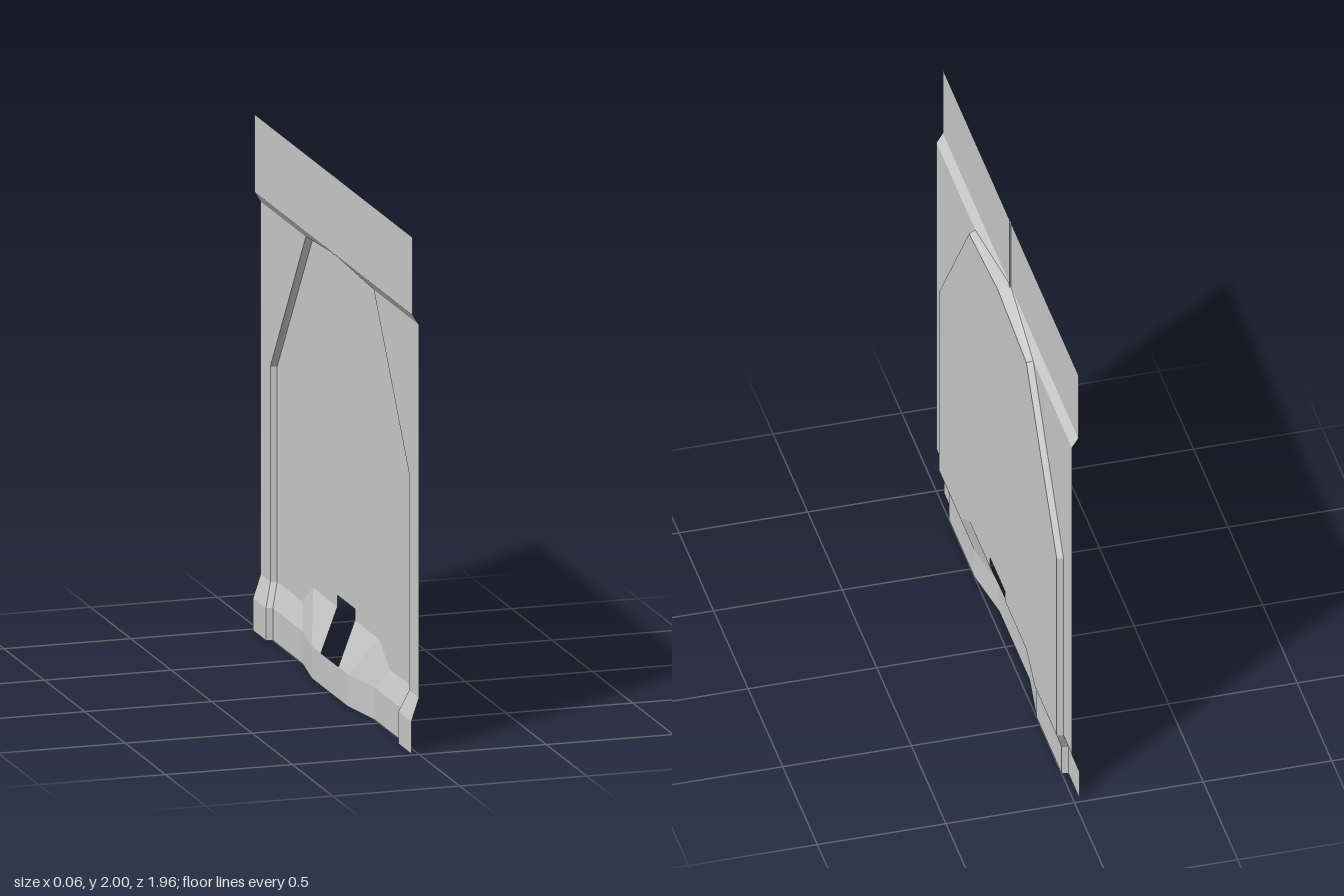
import * as THREE from 'three';

const sheet = new THREE.MeshStandardMaterial({ color: 0xcccccc, side: THREE.DoubleSide, flatShading: true });
sheet.name = 'sheet grey';

// Flat-faced mesh from polygons on the +z half, mirrored to the -z half
function facets(name, polygons) {
  const pos = [];
  const tri = (a, b, c) => {
    // wind each triangle so that it faces +x
    const nx = (b[1] - a[1]) * (c[2] - a[2]) - (b[2] - a[2]) * (c[1] - a[1]);
    pos.push(...a, ...(nx >= 0 ? [...b, ...c] : [...c, ...b]));
  };
  for (const side of [1, -1]) {
    for (const poly of polygons) {
      const p = poly.map(([x, y, z]) => [x, y, z * side]);
      const flat = p.map(([, y, z]) => new THREE.Vector2(z, y));
      for (const [i, j, k] of THREE.ShapeUtils.triangulateShape(flat, [])) tri(p[i], p[j], p[k]);
    }
  }
  const g = new THREE.BufferGeometry();
  g.setAttribute('position', new THREE.Float32BufferAttribute(pos, 3));
  g.computeVertexNormals();
  const mesh = new THREE.Mesh(g, sheet);
  mesh.name = name;
  return mesh;
}

// Quads joining two matching lists of points
const strip = (a, b) => a.slice(1).map((_, i) => [a[i], a[i + 1], b[i + 1], b[i]]);

export function createModel() {
  const group = new THREE.Group();
  group.name = 'pressedPanel';

  // Outline of the raised panel: foot of its rim, and top of its rim
  const foot = [[-0.02, 1.7, 0], [0.005, 1.66, 0.42], [0.005, 1.05, 0.86],
    [0.005, 0.215, 0.86], [-0.025, 0.125, 0.82], [-0.025, 0, 0.82]];
  const rim = [[0.03, 1.692, 0], [0.03, 1.651, 0.414], [0.03, 1.05, 0.853],
    [0.03, 0.215, 0.853], [0, 0.125, 0.813], [0, 0, 0.813]];

  // Outer frame: top flange, sloped step, side, lower slope and skirt
  const W = 0.98;
  group.add(facets('outerFrame', [
    [[-0.02, 2, 0], [-0.02, 2, W], [-0.02, 1.7, W], foot[0]],
    [foot[0], [-0.02, 1.7, W], [0.005, 1.66, W], foot[1]],
    [foot[1], [0.005, 1.66, W], [0.005, 0.215, W], foot[3], foot[2]],
    [foot[3], [0.005, 0.215, W], [-0.025, 0.125, W], foot[4]],
    [foot[4], [-0.025, 0.125, W], [-0.025, 0, W], foot[5]],
  ]));

  // Narrow wall around the raised panel
  group.add(facets('raisedRim', strip(foot, rim)));

  // Raised panel with the square opening cut from its lower middle
  const shoulder = [0.03, 0.215, 0.54], crest = [0.03, 0.3, 0.41];
  const slotTop = [0.03, 0.345, 0.108], slotSide = [0.03, 0.3, 0.108];
  group.add(facets('raisedPanel', [
    [...rim.slice(0, 4), shoulder, crest, slotSide, slotTop, [0.03, 0.345, 0]],
  ]));

  // Sloped bend and central recess below the panel
  const bend = [[...rim[4]], [0, 0.125, 0.45], [-0.035, 0.125, 0.22]];
  group.add(facets('lowerBend', [
    [rim[3], shoulder, bend[1], bend[0]],
    [shoulder, crest, bend[2], bend[1]],
    [crest, slotSide, [-0.035, 0.125, 0.108], bend[2]],
  ]));

  // Bottom skirt
  const top = [...bend, [-0.035, 0.125, 0]];
  group.add(facets('bottomSkirt', strip(top, top.map(([x, , z]) => [x, 0, z]))));

  // Thin seam up the middle of the top flange
  const seam = new THREE.Mesh(new THREE.BoxGeometry(0.006, 0.304, 0.014), sheet);
  seam.name = 'topSeam';
  seam.position.set(-0.018, 1.848, 0);
  group.add(seam);

  return group;
}
